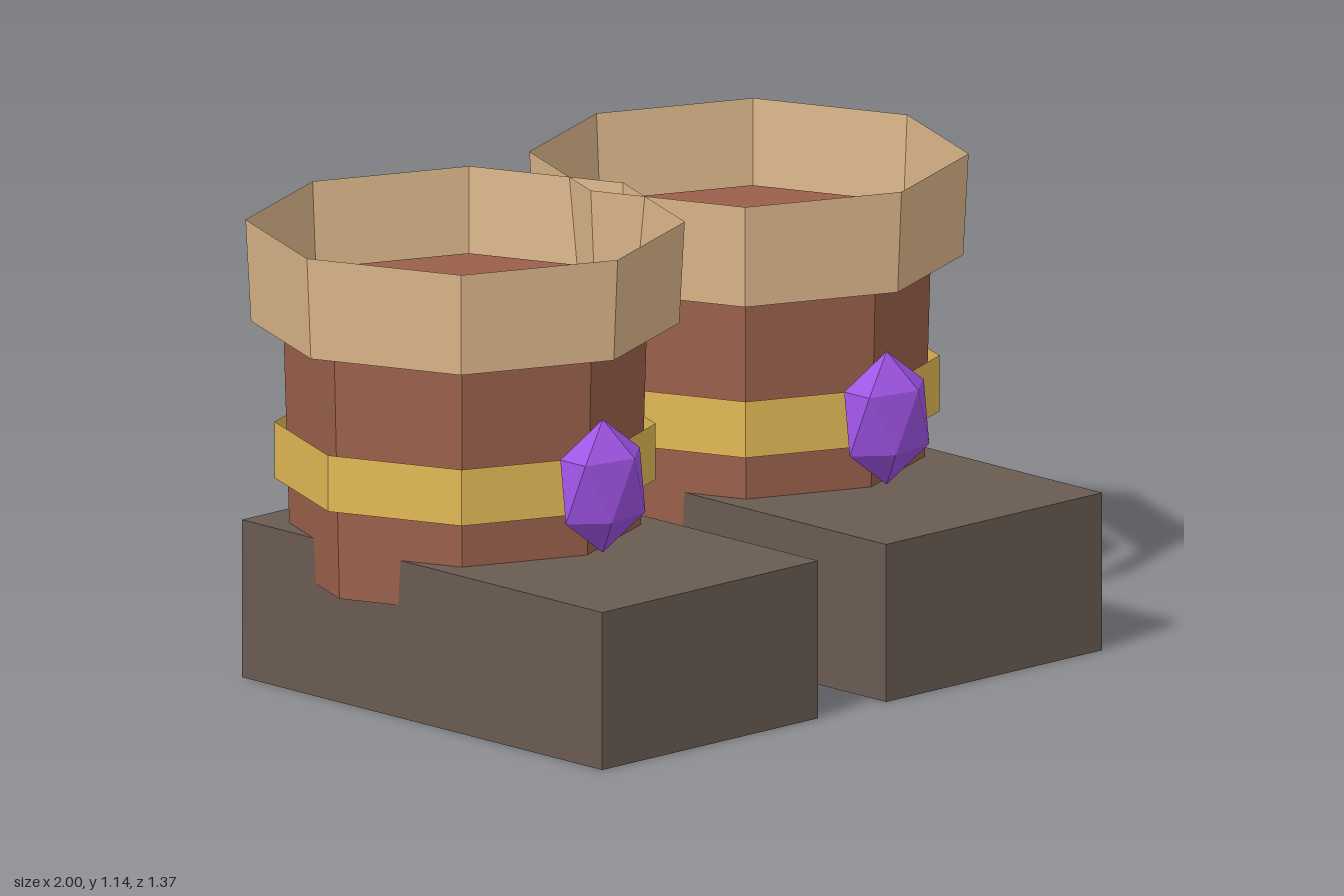
import * as THREE from 'three';

const material = (name, color, side = THREE.FrontSide) => {
  const m = new THREE.MeshStandardMaterial({ color, side, flatShading: true });
  m.name = name;
  return m;
};

export function createModel() {
  const soleBrown = material('dark brown', 0x695b51);
  const leather = material('red brown leather', 0x9a604a);
  const gold = material('gold', 0xe2b854, THREE.DoubleSide);
  const tan = material('tan', 0xdcb68a, THREE.DoubleSide);
  const purple = material('purple', 0x9f53e4);

  // Eight-sided ring or solid, spanning y0 to y1
  const octagon = (topR, bottomR, y0, y1, open) =>
    new THREE.CylinderGeometry(topR, bottomR, y1 - y0, 8, 1, open)
      .translate(0, (y0 + y1) / 2, -0.162);

  // Upright icosahedron, stretched tall and flattened front to back
  const gemGeometry = new THREE.IcosahedronGeometry(1, 0)
    .rotateZ(-Math.atan(2 / (1 + Math.sqrt(5))))
    .scale(0.138, 0.165, 0.0825)
    .translate(0, 0.571, 0.314);

  // The shaft ends inside the open cuff
  const parts = [
    ['foot', new THREE.BoxGeometry(0.72, 0.39, 1.245).translate(0, 0.195, 0.0625), soleBrown],
    ['shaft', octagon(0.438, 0.419, 0.278, 0.947, false), leather],
    ['band', octagon(0.457, 0.457, 0.501, 0.64, true), gold],
    ['cuff', octagon(0.527, 0.514, 0.889, 1.14, true), tan],
    ['gem', gemGeometry, purple],
  ];

  // One boot on each side
  const model = new THREE.Group();
  model.name = 'boots';
  for (const [name, x] of [['leftBoot', 0.473], ['rightBoot', -0.473]]) {
    const boot = new THREE.Group();
    boot.name = name;
    boot.position.x = x;
    for (const [part, geometry, mat] of parts) {
      const mesh = new THREE.Mesh(geometry, mat);
      mesh.name = part;
      boot.add(mesh);
    }
    model.add(boot);
  }
  return model;
}
